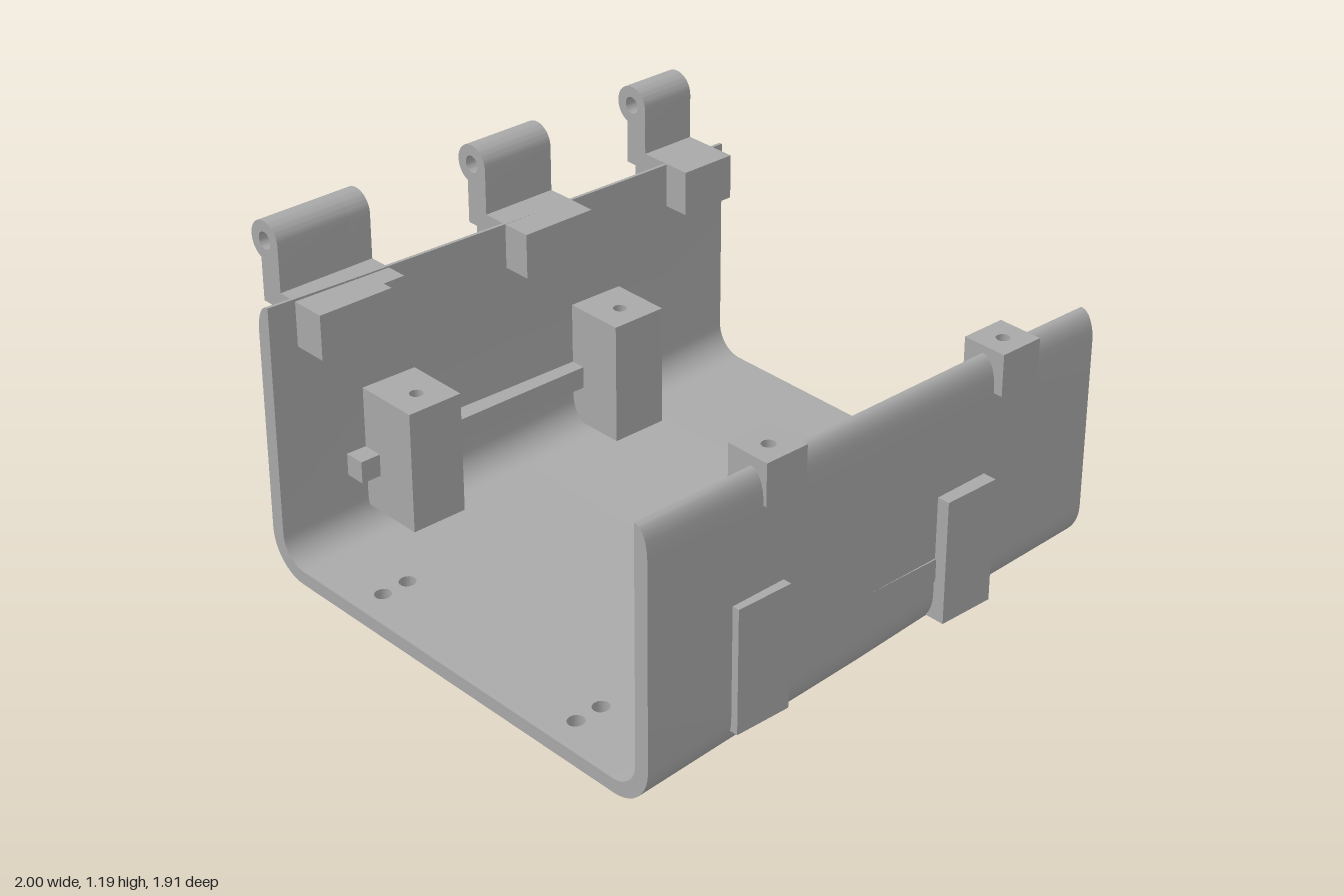
import * as THREE from 'three';
import { toCreasedNormals } from 'three/addons/utils/BufferGeometryUtils.js';

const CX = 0.0675;      // centre line of the tray
const FLOOR = 0.72;     // half width of the flat floor

// Shell stations from back to front: z, floor underside, half width, wall top
const STATIONS = [
  [-0.955, 0.105, 0.877, 0.96],
  [-0.5, 0.083, 0.878, 0.963],
  [0.03, 0.045, 0.8875, 0.966],
  [0.6, 0.018, 0.901, 0.971],
  [0.955, 0, 0.9125, 0.975],
];

// Half of the U section: floor edge, rounded corner, wall, rounded lip
function section(b, hw, top) {
  const p = [[FLOOR, b]];
  const arc = (cx, cy, rx, ry, a0, a1, n) => {
    for (let i = 0; i <= n; i++) {
      const a = a0 + (a1 - a0) * i / n;
      p.push([cx + rx * Math.cos(a), cy + ry * Math.sin(a)]);
    }
  };
  const q = Math.PI / 2;
  arc(hw - 0.15, b + 0.15, 0.15, 0.15, -q, 0, 10);
  arc(hw - 0.05, top - 0.1, 0.05, 0.1, 0, q, 8);
  p.push([hw - 0.055, top]);
  arc(hw - 0.155, b + 0.15, 0.1, 0.1, 0, -q, 10);
  p.push([FLOOR, b + 0.05]);
  return p;
}

// Lofted side wall, s = 1 for +x and -1 for -x
function wallGeometry(s) {
  const rings = STATIONS.map(([z, b, hw, top]) =>
    section(b, hw, top).map(([x, y]) => [CX + s * x, y, z]));
  const pos = [];
  const tri = (a, b, c) => pos.push(...a, ...(s > 0 ? b : c), ...(s > 0 ? c : b));
  const n = rings[0].length;
  for (let k = 0; k < rings.length - 1; k++) {
    for (let i = 0; i < n; i++) {
      const j = (i + 1) % n, A = rings[k], B = rings[k + 1];
      tri(A[i], A[j], B[j]);
      tri(A[i], B[j], B[i]);
    }
  }
  const [, b, hw, top] = STATIONS[0];
  const flat = section(b, hw, top).map(([x, y]) => new THREE.Vector2(x, y));
  const back = rings[0], front = rings[rings.length - 1];
  for (const [i, j, k] of THREE.ShapeUtils.triangulateShape(flat, [])) {
    tri(front[i], front[j], front[k]);
    tri(back[i], back[k], back[j]);
  }
  const g = new THREE.BufferGeometry();
  g.setAttribute('position', new THREE.Float32BufferAttribute(pos, 3));
  return toCreasedNormals(g, 0.6);
}

// Upright block with vertical round holes given as [x, z, radius]
function blockGeometry(x0, x1, y0, y1, z0, z1, holes = []) {
  const shape = new THREE.Shape([[x0, z0], [x1, z0], [x1, z1], [x0, z1]]
    .map(([x, z]) => new THREE.Vector2(x, z)));
  for (const [x, z, r] of holes) {
    shape.holes.push(new THREE.Path().absarc(x, z, r, 0, Math.PI * 2, true));
  }
  const g = new THREE.ExtrudeGeometry(shape, { depth: y1 - y0, bevelEnabled: false, curveSegments: 12 });
  return g.rotateX(Math.PI / 2).translate(0, y1, 0);
}

// Hinge bracket: eye, arm and inner block, extruded along z
function hingeGeometry(z0, z1, inner) {
  const s = new THREE.Shape();
  s.moveTo(-0.863, 1.125);
  s.absarc(-0.932, 1.125, 0.069, 0, Math.PI * 1.39, false);
  s.lineTo(-0.955, 0.905);
  s.lineTo(-0.915, 0.905);
  s.lineTo(-0.915, 0.805);
  s.lineTo(inner, 0.805);
  s.lineTo(inner, 0.965);
  s.lineTo(-0.863, 0.965);
  s.closePath();
  s.holes.push(new THREE.Path().absarc(-0.932, 1.125, 0.03, 0, Math.PI * 2, true));
  const g = new THREE.ExtrudeGeometry(s, { depth: z1 - z0, bevelEnabled: false, curveSegments: 20 });
  return toCreasedNormals(g.translate(0, 0, z0), 0.6);
}

export function createModel() {
  const model = new THREE.Group();
  const grey = new THREE.MeshStandardMaterial({ color: 0xa8a8a8 });
  grey.name = 'grey plastic';
  const add = (name, geometry) => {
    const mesh = new THREE.Mesh(geometry, grey);
    mesh.name = name;
    model.add(mesh);
  };

  // Side walls with rounded lower corners
  add('leftWall', wallGeometry(1));
  add('rightWall', wallGeometry(-1));

  // Sloping floor strips, the front one drilled
  for (let k = 0; k < STATIONS.length - 1; k++) {
    const [z0, b0] = STATIONS[k], [z1, b1] = STATIONS[k + 1];
    const holes = [];
    if (k === STATIONS.length - 2) {
      for (const x of [-0.405, 0.54]) for (const z of [0.75, 0.85]) holes.push([x, z, 0.029]);
    }
    const g = blockGeometry(CX - FLOOR, CX + FLOOR, 0, 0.05, z0, z1, holes);
    const p = g.attributes.position;
    for (let i = 0; i < p.count; i++) {
      p.setY(i, p.getY(i) + b0 + (b1 - b0) * (p.getZ(i) - z0) / (z1 - z0));
    }
    g.computeVertexNormals();
    add('floor', g);
  }

  // Screw posts passing through the walls, with blind holes in the top
  for (const [z0, z1] of [[-0.475, -0.265], [0.405, 0.615]]) {
    for (const [x0, x1, hx] of [[-0.857, -0.535, -0.632], [0.675, 0.995, 0.77]]) {
      add('postBase', blockGeometry(x0, x1, 0.13, 0.35, z0, z1));
      add('postTop', blockGeometry(x0, x1, 0.35, 0.57, z0, z1, [[hx, (z0 + z1) / 2, 0.024]]));
    }
  }

  // Rails linking the posts
  add('rightRail', blockGeometry(-0.82, -0.705, 0.27, 0.35, -0.512, 0.69));
  add('leftRail', blockGeometry(0.84, 0.955, 0.27, 0.35, -0.512, 0.69));

  // Drilled tabs on the left wall
  for (const [z, top] of [[0.415, 1.005], [-0.58, 0.99]]) {
    add('tabBase', blockGeometry(0.817, 0.978, top - 0.145, top - 0.12, z - 0.081, z + 0.081));
    add('tabTop', blockGeometry(0.817, 0.978, top - 0.12, top, z - 0.081, z + 0.081, [[0.9, z, 0.023]]));
  }

  // Hinges on the right wall, the front one relieved beside the screw post
  add('backHinge', hingeGeometry(-0.905, -0.695, -0.657));
  add('middleHinge', hingeGeometry(-0.27, 0.013, -0.657));
  add('frontHinge', hingeGeometry(0.57, 0.852, -0.657));
  add('frontHingeRelief', hingeGeometry(0.488, 0.57, -0.697));

  return model;
}
